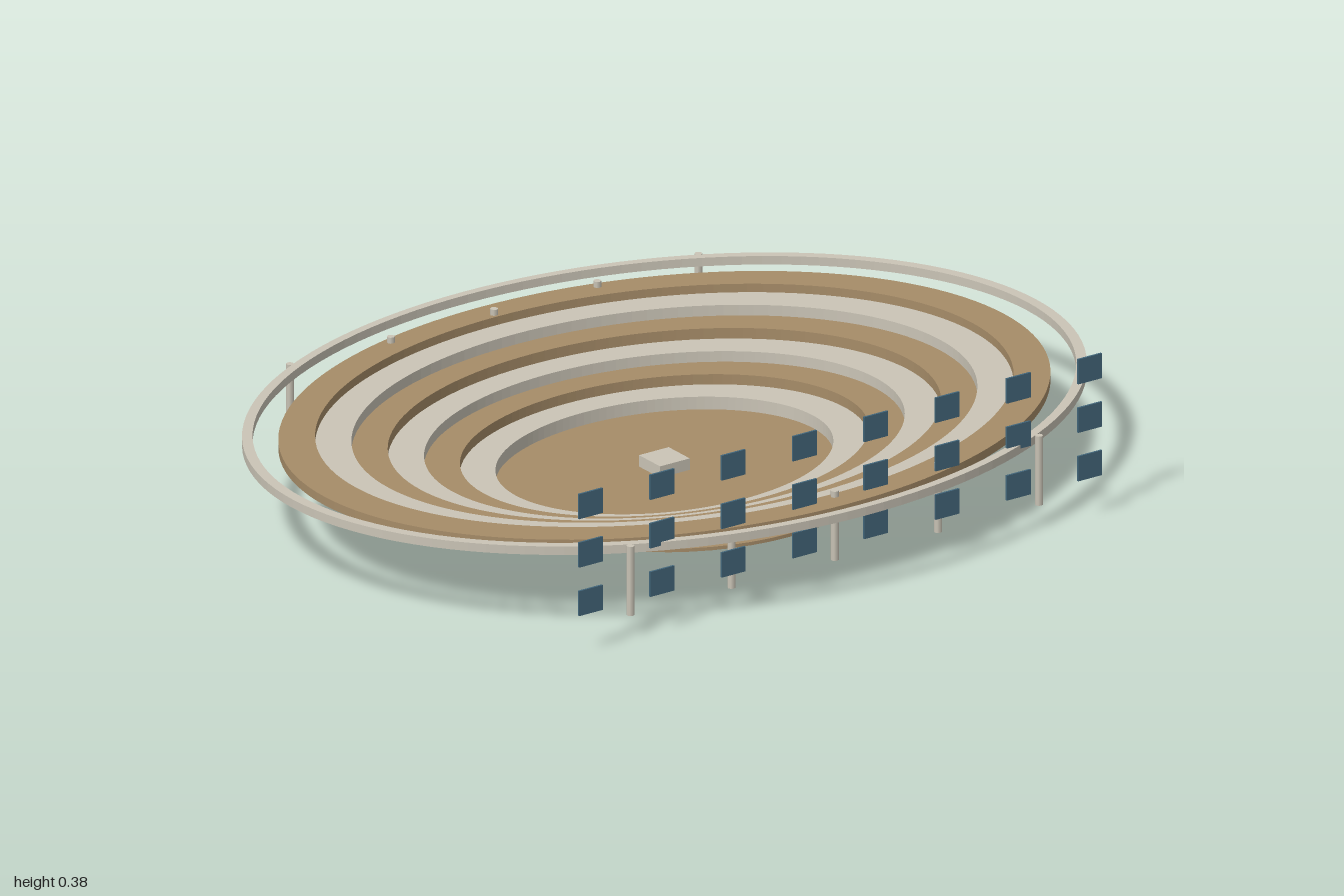
import * as THREE from 'three';

const mat = (name, color, extra = {}) => {
  const m = new THREE.MeshStandardMaterial({ color, ...extra });
  m.name = name;
  return m;
};

const DEPTH = 0.763; // depth of the oval relative to its width

// Flat oval ring standing between heights y0 and y1
function ovalRing(outer, inner, y0, y1) {
  const shape = new THREE.Shape();
  shape.absellipse(0, 0, outer, outer * DEPTH, 0, Math.PI * 2, false, 0);
  const hole = new THREE.Path();
  hole.absellipse(0, 0, inner, inner * DEPTH, 0, Math.PI * 2, true, 0);
  shape.holes.push(hole);
  const geo = new THREE.ExtrudeGeometry(shape, { depth: y1 - y0, bevelEnabled: false, curveSegments: 64 });
  geo.rotateX(-Math.PI / 2);
  geo.translate(0, y0, 0);
  return geo;
}

export function createModel() {
  const stone = mat('pale stone', 0xcac4b6);
  const sand = mat('sand', 0xa68c68);
  const glass = mat('blue glass', 0x42667a);
  const group = new THREE.Group();
  group.name = 'arena';

  const add = (name, geo, material, x = 0, y = 0, z = 0) => {
    const mesh = new THREE.Mesh(geo, material);
    mesh.name = name;
    mesh.position.set(x, y, z);
    group.add(mesh);
    return mesh;
  };

  // Round arena floor and the block in its middle
  add('floor', new THREE.CylinderGeometry(0.467, 0.467, 0.008, 64), sand, 0, 0.049, 0);
  add('centreBlock', new THREE.BoxGeometry(0.08, 0.08, 0.08), stone, 0, 0.04, 0);

  // Seating tiers, alternating stone and sand, rising outward
  const radii = [0.4, 0.484, 0.569, 0.655, 0.741, 0.827, 0.914];
  const heights = [0.053, 0.083, 0.107, 0.132, 0.157, 0.182, 0.202];
  for (let i = 0; i < 6; i++) {
    add(`tier${i + 1}`, ovalRing(radii[i + 1], radii[i], heights[i], heights[i + 1]), i % 2 ? sand : stone);
  }

  // Thin outer rim
  add('outerRim', ovalRing(1, 0.975, 0.196, 0.216), stone);

  // Slim columns along the front and back
  const column = new THREE.CylinderGeometry(0.009, 0.009, 0.164, 8);
  for (const z of [-0.645, 0.645]) {
    for (const x of [-0.55, -0.278, 0, 0.278, 0.55]) add('column', column, stone, x, 0.134, z);
  }

  // Three rows of window panes in front
  const pane = new THREE.BoxGeometry(0.064, 0.059, 0.005);
  for (const y of [0.122, 0.237, 0.352]) {
    for (let i = 0; i < 8; i++) add('windowPane', pane, glass, (i - 3.5) * 0.192, y, 0.665);
  }
  return group;
}
